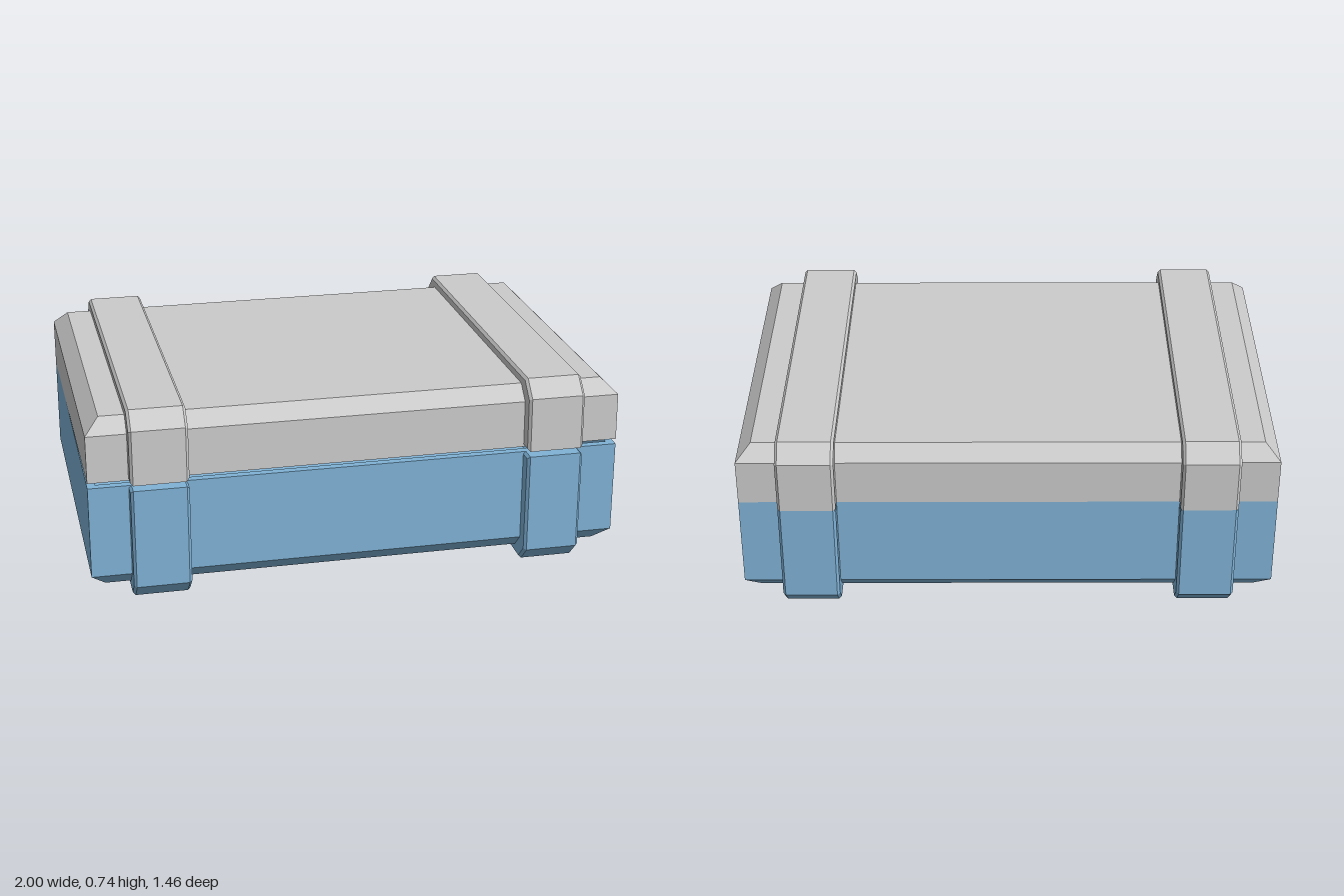
import * as THREE from 'three';

const WALL = 0.03, CHAMFER = 0.055;
const CORNERS = [[1, 1], [-1, 1], [-1, -1], [1, -1]];

// Open tray with a chamfered floor, lofted through rectangular rings [halfX, halfZ, y]
function trayGeometry(floorY, rimY) {
  const X = 1, Z = 0.67, c = CHAMFER, t = WALL;
  const rings = [
    [0, 0, floorY], [X - c, Z - c, floorY], [X, Z, floorY + c], [X, Z, rimY],
    [X - t, Z - t, rimY], [X - t, Z - t, floorY + c + t / 2],
    [X - c - t / 2, Z - c - t / 2, floorY + t], [0, 0, floorY + t],
  ];
  const pos = [];
  const point = (i, j) => {
    const [hx, hz, y] = rings[i], [sx, sz] = CORNERS[j % 4];
    return [sx * hx, y, sz * hz];
  };
  for (let i = 0; i < rings.length - 1; i++) {
    for (let j = 0; j < 4; j++) {
      const a = point(i, j), b = point(i, j + 1);
      const up = point(i + 1, j), upB = point(i + 1, j + 1);
      if (i > 0) pos.push(...a, ...upB, ...b);
      if (i < rings.length - 2) pos.push(...a, ...up, ...upB);
      else pos.push(...a, ...up, ...b);
    }
  }
  const g = new THREE.BufferGeometry();
  g.setAttribute('position', new THREE.Float32BufferAttribute(pos, 3));
  g.computeVertexNormals();
  return g;
}

// U-shaped band wrapped round a tray, with small bevels along its edges
function strapGeometry(floorY, rimY) {
  const Z = 0.727, c = 0.062, inner = 0.655, step = 0.05, width = 0.215, bevel = 0.01;
  const half = [[Z - c, floorY], [Z, floorY + c], [Z, rimY], [inner, rimY],
    [inner, floorY + c + step], [inner - c, floorY + step]];
  const outline = [...half, ...half.map(([z, y]) => [-z, y]).reverse()];
  const g = new THREE.ExtrudeGeometry(
    new THREE.Shape(outline.map(([z, y]) => new THREE.Vector2(z, y))), {
      depth: width - 2 * bevel, bevelEnabled: true, bevelThickness: bevel,
      bevelSize: bevel, bevelOffset: -bevel, bevelSegments: 1,
    });
  g.translate(0, 0, -width / 2 + bevel);
  g.rotateY(-Math.PI / 2);
  return g;
}

export function createModel() {
  const model = new THREE.Group();
  model.name = 'case';
  const blue = new THREE.MeshStandardMaterial({ color: 0x7fb2d6, flatShading: true });
  const grey = new THREE.MeshStandardMaterial({ color: 0xcccccc, flatShading: true });

  function addPart(parent, name, geometry, material, x = 0) {
    const mesh = new THREE.Mesh(geometry, material);
    mesh.name = name;
    mesh.position.x = x;
    parent.add(mesh);
  }

  // Lower half
  const base = new THREE.Group();
  base.name = 'base';
  addPart(base, 'baseShell', trayGeometry(0.04, 0.45), blue);

  // Upper half: the same tray turned over, resting slightly ajar at the front
  const lid = new THREE.Group();
  lid.name = 'lid';
  addPart(lid, 'lidShell', trayGeometry(-0.235, 0).rotateZ(Math.PI), grey);
  lid.position.y = 0.456;
  lid.rotation.x = -0.0209;

  // Bands on both halves
  const baseStrap = strapGeometry(0.003, 0.45);
  const lidStrap = strapGeometry(-0.27, 0).rotateZ(Math.PI);
  for (const [side, s] of [['left', 1], ['right', -1]]) {
    addPart(base, side + 'BaseStrap', baseStrap, blue, s * 0.743);
    addPart(lid, side + 'LidStrap', lidStrap, grey, s * 0.743);
  }

  model.add(base, lid);
  return model;
}
